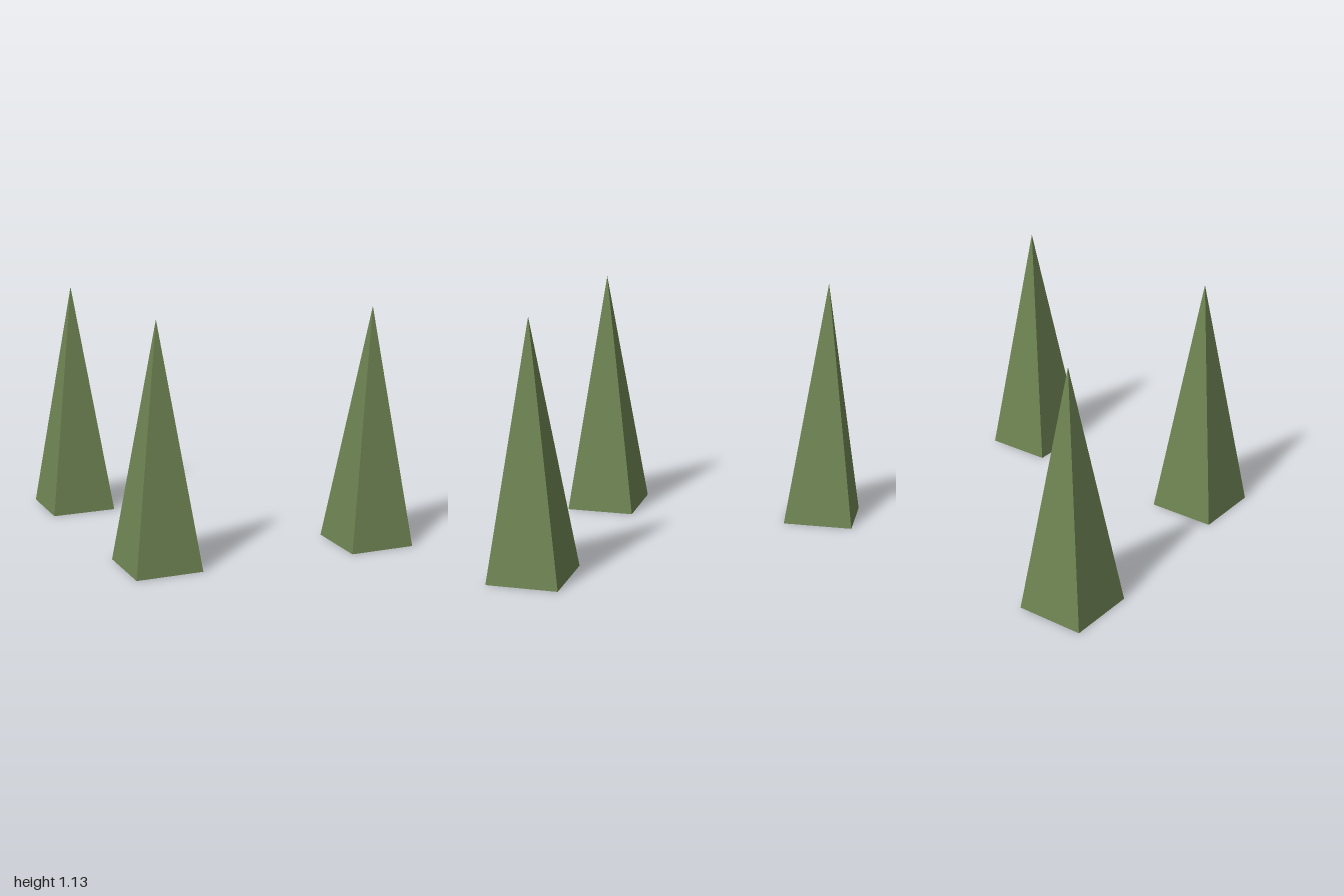
import * as THREE from 'three';

export function createModel() {
  const group = new THREE.Group();
  group.name = 'spikes';

  const radius = 0.2255;
  const height = 1.1275;
  const green = new THREE.MeshStandardMaterial({ color: 0x6f8453, flatShading: true });

  // Four-sided spike with closed base, corners pointing along x and z
  const spike = new THREE.ConeGeometry(radius, height, 4);
  spike.translate(0, height / 2, 0);

  // Three spikes in a triangle: one in front, two behind
  const places = [
    ['frontSpike', 0, 0.356],
    ['backLeftSpike', 0.7745, -0.356],
    ['backRightSpike', -0.7745, -0.356],
  ];
  for (const [name, x, z] of places) {
    const mesh = new THREE.Mesh(spike, green);
    mesh.name = name;
    mesh.position.set(x, 0, z);
    group.add(mesh);
  }
  return group;
}
